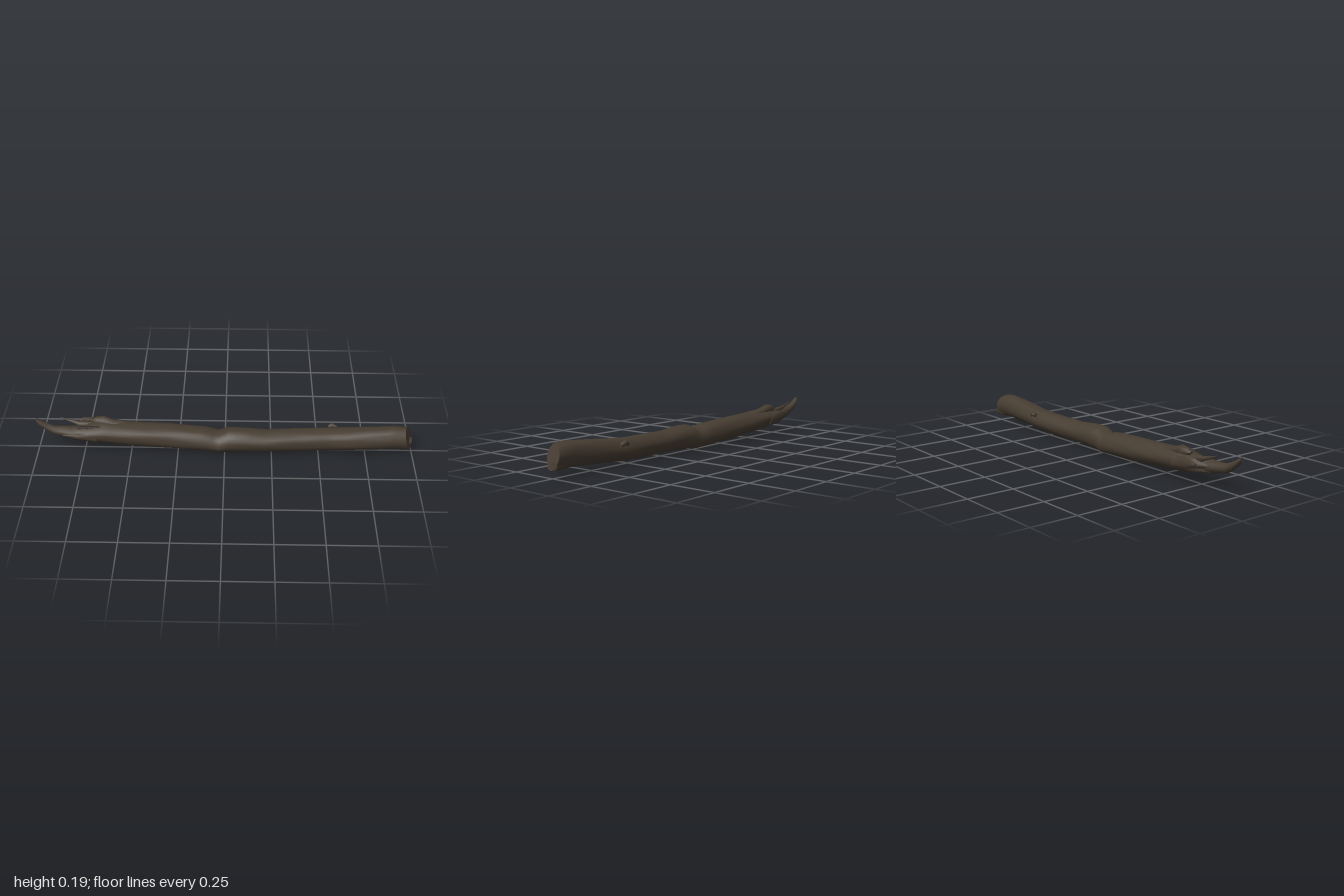
import * as THREE from 'three';

const bark = new THREE.MeshStandardMaterial({ color: 0x463c31 });
bark.name = 'dark bark';
const wood = new THREE.MeshStandardMaterial({ color: 0x4b3f35 });
wood.name = 'broken wood';
const hollow = new THREE.MeshStandardMaterial({ color: 0x2c2823 });
hollow.name = 'shadowed crack';

// Skin through rows of [x, bottom, top, back z, front z], running along +x; caps get their own material
function loft(name, rows, sides, skin, cap, warp = (p) => p) {
  const pos = [], index = [], rings = rows.length;
  rows.forEach(([x, y0, y1, z0, z1]) => {
    for (let j = 0; j < sides; j++) {
      const a = (j / sides) * Math.PI * 2;
      const p = new THREE.Vector3(x, (y0 + y1) / 2 + Math.cos(a) * (y1 - y0) / 2,
        (z0 + z1) / 2 + Math.sin(a) * (z1 - z0) / 2);
      pos.push(...warp(p, a));
    }
  });
  for (let i = 0; i < rings - 1; i++) {
    for (let j = 0; j < sides; j++) {
      const k = (j + 1) % sides;
      const a = i * sides + j, b = i * sides + k;
      index.push(a, b, a + sides, b, b + sides, a + sides);
    }
  }
  const skinCount = index.length;
  // End caps with separate vertices for a hard edge
  for (const end of [0, rings - 1]) {
    const start = pos.length / 3, c = [0, 0, 0];
    for (let j = 0; j < sides; j++) {
      for (let n = 0; n < 3; n++) {
        const v = pos[(end * sides + j) * 3 + n];
        pos.push(v);
        c[n] += v / sides;
      }
    }
    pos.push(...c);
    for (let j = 0; j < sides; j++) {
      const k = (j + 1) % sides;
      if (end) index.push(start + sides, start + j, start + k);
      else index.push(start + sides, start + k, start + j);
    }
  }
  const g = new THREE.BufferGeometry();
  g.setAttribute('position', new THREE.Float32BufferAttribute(pos, 3));
  g.setIndex(index);
  g.addGroup(0, skinCount, 0);
  g.addGroup(skinCount, index.length - skinCount, 1);
  g.computeVertexNormals();
  const mesh = new THREE.Mesh(g, [skin, cap]);
  mesh.name = name;
  return mesh;
}

// Adds in-between rows so the bark can ripple along its length
function refine(rows, step) {
  const out = [];
  for (let i = 0; i < rows.length - 1; i++) {
    const n = Math.max(1, Math.round((rows[i + 1][0] - rows[i][0]) / step));
    for (let s = 0; s < n; s++) out.push(rows[i].map((v, c) => v + (rows[i + 1][c] - v) * s / n));
  }
  out.push(rows[rows.length - 1]);
  return out;
}

export function createModel() {
  const group = new THREE.Group();
  group.name = 'brokenLog';

  // Gently sagging trunk, narrowing to a torn strip at the left
  const trunk = [
    [-0.81, 0.07, 0.135, -0.03, 0.04],
    [-0.765, 0.065, 0.14, -0.05, 0.05],
    [-0.735, 0.06, 0.145, -0.08, 0.055],
    [-0.65, 0.05, 0.16, -0.085, 0.062],
    [-0.5, 0.037, 0.152, -0.08, 0.065],
    [-0.3, 0.02, 0.145, -0.075, 0.066],
    [-0.1, 0.01, 0.133, -0.068, 0.075],
    [-0.03, 0.005, 0.117, -0.06, 0.08],
    [0.02, 0.01, 0.14, -0.056, 0.083],
    [0.1, 0.014, 0.141, -0.052, 0.084],
    [0.22, 0.018, 0.13, -0.052, 0.082],
    [0.4, 0.018, 0.134, -0.057, 0.07],
    [0.55, 0.022, 0.138, -0.06, 0.066],
    [0.65, 0.028, 0.146, -0.052, 0.075],
    [0.8, 0.035, 0.16, -0.043, 0.075],
    [0.9, 0.04, 0.168, -0.04, 0.075],
    [0.976, 0.038, 0.163, -0.038, 0.075],
  ];
  group.add(loft('trunk', refine(trunk, 0.035), 28, bark, wood, (p, a) => {
    // Shallow grain ridges, and a slanted break at the right end
    const r = 1 + 0.016 * Math.sin(5 * a + 7 * p.x) + 0.012 * Math.sin(8 * a - 19 * p.x);
    const yc = 0.08, zc = 0;
    const tilt = THREE.MathUtils.smoothstep(p.x, 0.85, 0.97);
    const torn = 1 - THREE.MathUtils.smoothstep(p.x, -0.81, -0.72);
    p.x += tilt * (-0.28 * (p.y - 0.1) - 0.28 * (p.z - 0.018)) + torn * 0.018 * Math.sin(6 * a);
    p.y = Math.max(0, yc + (p.y - yc) * r);
    p.z = zc + (p.z - zc) * r;
    return p;
  }));

  // Long curled strip reaching the left tip
  group.add(loft('tornTip', [
    [-1, 0.168, 0.19, -0.008, 0.012],
    [-0.985, 0.145, 0.18, -0.018, 0.018],
    [-0.95, 0.115, 0.16, -0.02, 0.02],
    [-0.91, 0.092, 0.142, -0.018, 0.028],
    [-0.87, 0.084, 0.138, -0.028, 0.033],
    [-0.82, 0.072, 0.137, -0.032, 0.043],
    [-0.74, 0.066, 0.138, -0.04, 0.05],
  ], 12, bark, wood));

  // Thin splinters and bark shards around the break
  const shards = [
    ['upperSplinter', [[-0.875, 0.172, 0.177, -0.034, -0.029], [-0.83, 0.148, 0.164, -0.038, -0.022],
      [-0.78, 0.125, 0.155, -0.04, -0.01], [-0.68, 0.11, 0.15, -0.045, 0]]],
    ['raisedBark', [[-0.71, 0.15, 0.164, -0.045, -0.025], [-0.685, 0.135, 0.178, -0.058, -0.01],
      [-0.645, 0.125, 0.184, -0.06, 0], [-0.6, 0.12, 0.168, -0.055, 0.005], [-0.5, 0.11, 0.15, -0.05, 0.005]]],
    ['backShard', [[-0.785, 0.115, 0.128, -0.085, -0.072], [-0.76, 0.1, 0.14, -0.092, -0.076],
      [-0.71, 0.08, 0.145, -0.092, -0.06], [-0.62, 0.07, 0.13, -0.088, -0.05]]],
    ['frontSplinter', [[-0.86, 0.1, 0.108, 0.03, 0.038], [-0.79, 0.085, 0.118, 0.03, 0.05],
      [-0.68, 0.07, 0.12, 0.03, 0.062]]],
    ['endLip', [[0.9, 0.042, 0.085, -0.02, 0.04], [0.96, 0.036, 0.09, -0.03, 0.045],
      [0.998, 0.042, 0.085, -0.032, 0.02]]],
    ['backSpur', [[0.555, 0.105, 0.128, -0.068, -0.045], [0.575, 0.11, 0.137, -0.074, -0.045],
      [0.6, 0.1, 0.125, -0.06, -0.04]]],
  ];
  for (const [name, rows] of shards) group.add(loft(name, rows, 7, bark, wood));

  // Dark split on top beside the break
  group.add(loft('topSplit', [
    [-0.79, 0.132, 0.142, 0.002, 0.012], [-0.73, 0.137, 0.147, 0, 0.024],
    [-0.67, 0.145, 0.154, 0.006, 0.024], [-0.6, 0.145, 0.153, 0.014, 0.02],
  ], 8, hollow, hollow));
  return group;
}
